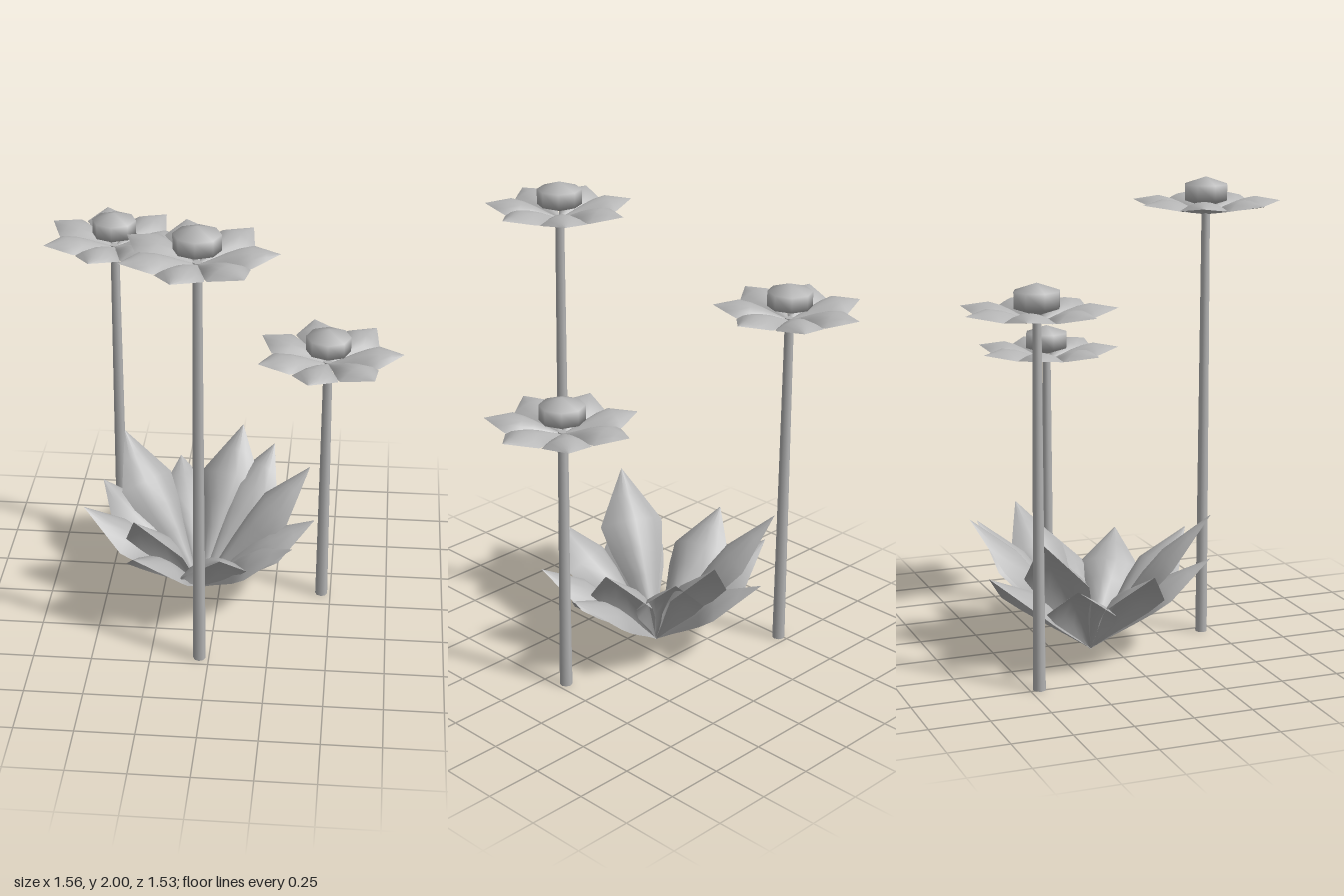
import * as THREE from 'three';

const grey = new THREE.MeshStandardMaterial({ color: 0xb4b4b4, side: THREE.DoubleSide });
grey.name = 'plain grey';

function addMesh(parent, name, geometry, x = 0, y = 0, z = 0) {
  const mesh = new THREE.Mesh(geometry, grey);
  mesh.name = name;
  mesh.position.set(x, y, z);
  parent.add(mesh);
  return mesh;
}

// Pointed blade growing from the origin along +x, rising to `rise` at the tip.
// Its arched cross-sections lift the midrib by `ridge` and drop the edges by `droop`.
function bladeGeometry(length, rise, halfWidth, ridge, droop) {
  const stations = [ // [distance along, width factor, arch factor]
    [0, 0.03, 0], [0.18, 0.26, 0.35], [0.36, 0.55, 0.75],
    [0.52, 0.83, 0.98], [0.68, 1, 1], [0.84, 0.51, 0.5], [1, 0.01, 0],
  ];
  const across = 6;
  const slope = Math.hypot(length, rise);
  const nx = -rise / slope, ny = length / slope;
  const positions = [], indices = [];
  stations.forEach(([t, width, arch], i) => {
    for (let j = 0; j <= across; j++) {
      const v = (2 * j) / across - 1;
      const lift = arch * (ridge - (ridge + droop) * v * v);
      positions.push(length * t + nx * lift, rise * t + ny * lift, v * width * halfWidth);
      if (i > 0 && j > 0) {
        const d = i * (across + 1) + j, c = d - 1, b = d - across - 1, a = b - 1;
        indices.push(a, b, c, b, d, c);
      }
    }
  });
  const geometry = new THREE.BufferGeometry();
  geometry.setAttribute('position', new THREE.Float32BufferAttribute(positions, 3));
  geometry.setIndex(indices);
  geometry.computeVertexNormals();
  return geometry;
}

// Tapered stem, seven petals and a faceted domed centre; `height` is the top of the dome
function makeFlower(x, z, height) {
  const flower = new THREE.Group();
  flower.name = 'flower';
  flower.position.set(x, 0, z);
  const stemTop = height - 0.15;
  addMesh(flower, 'stem', new THREE.CylinderGeometry(0.019, 0.027, stemTop, 8), 0, stemTop / 2, 0);
  const petal = bladeGeometry(0.32, 0.055, 0.1, 0.038, 0.002);
  for (let i = 0; i < 7; i++) {
    addMesh(flower, 'petal', petal, 0, height - 0.16, 0).rotation.y = (i * Math.PI * 2) / 7;
  }
  const centre = addMesh(flower, 'flowerCentre', new THREE.SphereGeometry(0.11, 8, 3), 0, height - 0.065, 0);
  centre.scale.y = 0.59;
  return flower;
}

export function createModel() {
  const model = new THREE.Group();
  model.name = 'floweringPlant';

  // Three flowers on tall stems
  model.add(makeFlower(-0.49, -0.46, 1.66));
  model.add(makeFlower(-0.04, 0.45, 2));
  model.add(makeFlower(0.46, -0.09, 1.32));

  // Rosette of leaves: [heading in degrees from +x towards +z, tip height]
  const rosette = new THREE.Group();
  rosette.name = 'leafRosette';
  rosette.position.set(-0.09, 0, -0.09);
  const leaves = [
    [-154, 0.41], [-137, 0.6], [-105, 0.4], [-72, 0.58], [-53, 0.53], [-20, 0.55],
    [0, 0.38], [33, 0.4], [75, 0.46], [117, 0.61], [118, 0.42], [170, 0.45],
  ];
  for (const [heading, tip] of leaves) {
    const leaf = addMesh(rosette, 'leaf', bladeGeometry(0.51, tip, 0.145, 0.055, 0.02));
    leaf.rotation.y = -THREE.MathUtils.degToRad(heading);
  }
  model.add(rosette);
  return model;
}
